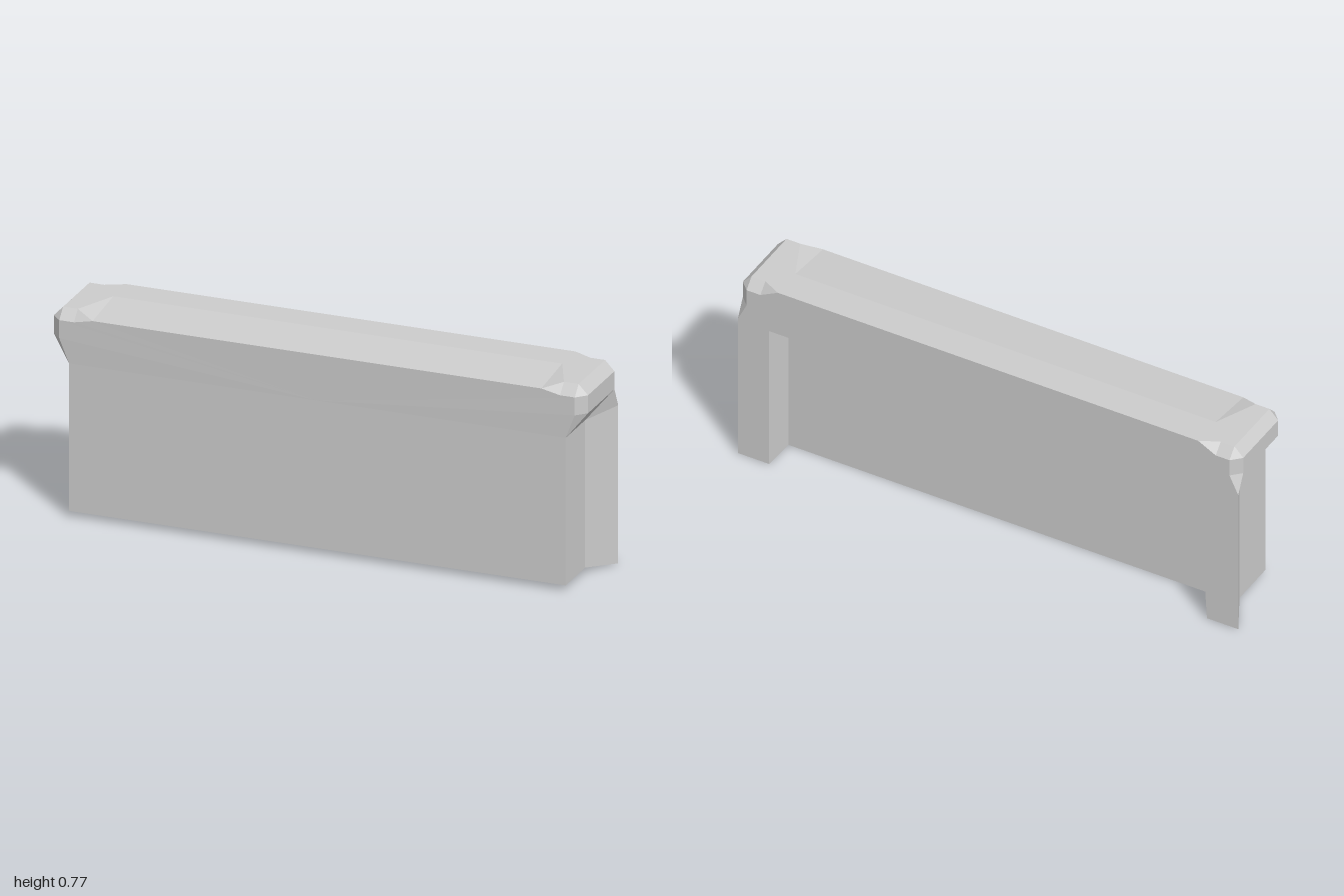
import * as THREE from 'three';

// Corner points of the +x half; "0" names lie on the centre line.
const basePoints = {
  // foot level
  A: [0.93, 0.022, 0.155], B: [0.93, 0.022, -0.025], C: [1, 0, -0.157],
  D: [0.875, 0, -0.157], E: [0.87, 0, -0.03],
  A0: [0, 0.022, 0.155], E0: [0, 0, -0.03],
  // underside of the cap
  A2: [0.93, 0.573, 0.155], B2: [0.93, 0.573, -0.025], C2: [1, 0.59, -0.157],
  D2: [0.875, 0.585, -0.157], E2: [0.87, 0.575, -0.03],
  A20: [0, 0.573, 0.155], D20: [0, 0.585, -0.157], E20: [0, 0.575, -0.03],
  // lower cap rim
  F: [0.965, 0.663, 0.158], G: [1, 0.663, 0.122], H: [1, 0.663, -0.07],
  I: [1, 0.663, -0.122], J: [0.965, 0.663, -0.157],
  // upper cap rim
  F3: [0.965, 0.73, 0.158], G3: [1, 0.73, 0.122], I3: [1, 0.73, -0.122], J3: [0.965, 0.73, -0.157],
  K: [0.91, 0.73, 0.158], L: [0.84, 0.745, 0.158], L0: [0, 0.745, 0.158],
  Q: [0.91, 0.73, -0.157], R: [0.84, 0.767, -0.157], R0: [0, 0.767, -0.157],
  // top
  M: [0.965, 0.767, 0.122], N: [0.91, 0.767, 0.122], O: [0.965, 0.767, -0.122], P: [0.91, 0.767, -0.122],
  T: [0.91, 0.767, 0], U: [0.84, 0.767, -0.035], U0: [0, 0.767, -0.035],
};

// Faces of each part, counter-clockwise from outside.
const parts = {
  wall: ['A0 A A2 A20', 'A B B2 A2', 'A A0 E0 E'],
  leg: ['B C C2 B2', 'C D D2 C2', 'A E B', 'B E D C'],
  recess: ['E E0 E20 E2', 'D E E2 D2', 'D2 E2 E20 D20'],
  capFlare: ['A2 B2 H G', 'B2 C2 I H', 'A2 G F', 'C2 J I'],
  cap: [
    'A20 A2 F F3 K L L0', 'D2 D20 R0 R Q J3 J C2', // front and back
    'G H I I3 G3', 'F G G3 F3', 'I J J3 I3', // end and upright chamfers
    'G3 I3 O M', 'F3 G3 M', 'I3 J3 O', // end bevel
    'F3 M N K', 'K N L', 'J3 Q P O', 'Q R P', // corner bevels
    'M O P T N', 'P R U T', 'R R0 U0 U', 'N T U L', 'L U U0 L0', // top
  ],
};

// Fan-triangulates the faces, mirrored when side is -1.
function facesToGeometry(faces, points, side) {
  const pos = [];
  for (const face of faces) {
    const corners = face.split(' ').map((n) => points[n]);
    if (side < 0) corners.push(...corners.splice(1).reverse());
    for (let i = 1; i < corners.length - 1; i++) {
      for (const p of [corners[0], corners[i], corners[i + 1]]) pos.push(p[0] * side, p[1], p[2]);
    }
  }
  const geometry = new THREE.BufferGeometry();
  geometry.setAttribute('position', new THREE.Float32BufferAttribute(pos, 3));
  geometry.computeVertexNormals();
  return geometry;
}

export function createModel() {
  const group = new THREE.Group();
  group.name = 'cappedWall';
  const stone = new THREE.MeshStandardMaterial({ color: 0xcccccc, flatShading: true });
  stone.name = 'light grey';

  for (const side of [1, -1]) {
    const points = { ...basePoints };
    // the right leg widens towards the top
    if (side < 0) points.D2 = [0.84, 0.585, -0.157];
    for (const [name, faces] of Object.entries(parts)) {
      const mesh = new THREE.Mesh(facesToGeometry(faces, points, side), stone);
      mesh.name = name + (side > 0 ? 'Left' : 'Right');
      group.add(mesh);
    }
  }
  return group;
}
